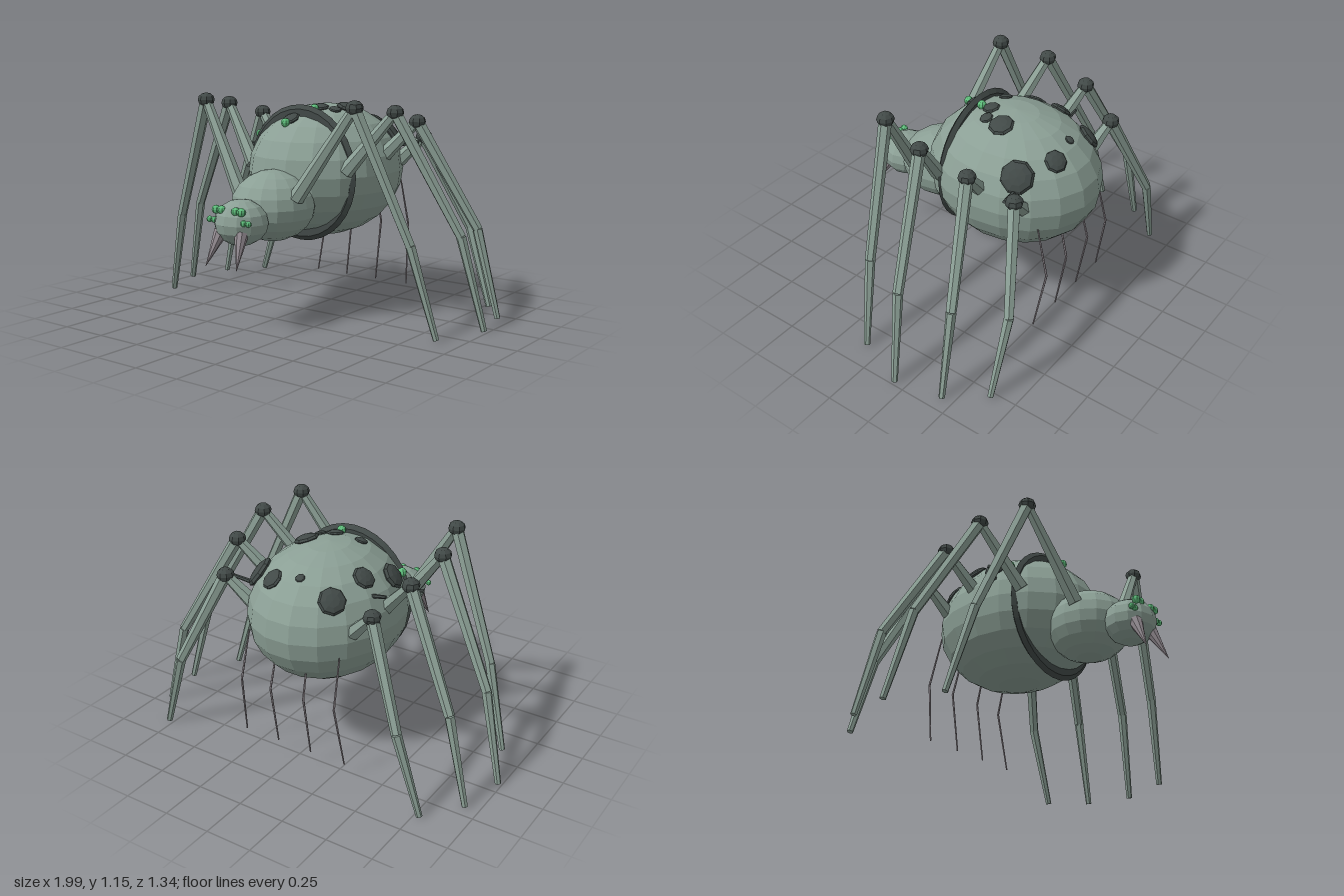
import * as THREE from 'three';

const mat = (name, color) => {
  const m = new THREE.MeshStandardMaterial({ color, flatShading: true });
  m.name = name;
  return m;
};

export function createModel() {
  const skin = mat('grey green skin', 0x8b9f95);
  const dark = mat('dark shell', 0x414947);
  const green = mat('bright green', 0x5fbf7c);
  const horn = mat('grey horn', 0x958d93);
  const model = new THREE.Group();
  const V = (x, y, z) => new THREE.Vector3(x, y, z);
  const UP = V(0, 1, 0);

  const add = (parent, name, geo, material) => {
    const mesh = new THREE.Mesh(geo, material);
    mesh.name = name;
    parent.add(mesh);
    return mesh;
  };
  const ball = (parent, name, material, center, radii, w = 8, h = 6) => {
    const m = add(parent, name, new THREE.SphereGeometry(1, w, h), material);
    m.position.copy(center);
    m.scale.copy(radii);
    return m;
  };
  // Tapered rod between two points
  const rod = (parent, name, material, a, b, ra, rb, sides = 6) => {
    const dir = b.clone().sub(a);
    const m = add(parent, name, new THREE.CylinderGeometry(rb, ra, dir.length(), sides), material);
    m.position.copy(a).add(b).multiplyScalar(0.5);
    m.quaternion.setFromUnitVectors(UP, dir.normalize());
    return m;
  };

  // Body
  const C = V(0, 0.741, -0.205), R = V(0.39, 0.354, 0.467);
  ball(model, 'abdomen', skin, C, R, 18, 12);
  ball(model, 'thorax', skin, V(0, 0.602, 0.26), V(0.213, 0.183, 0.225), 16, 10);
  ball(model, 'head', skin, V(0, 0.55, 0.515), V(0.138, 0.116, 0.134), 12, 8);

  // Flat ring around the front of the abdomen
  const ring = add(model, 'abdomenRing', new THREE.TorusGeometry(0.31, 0.045, 6, 32), dark);
  ring.position.set(0, 0.74, 0.022);
  ring.scale.set(0.97, 1.01, 0.48);

  // Points and normals on the upper half of the abdomen
  const surface = (x, z) => {
    const u = x / R.x, w = (z - C.z) / R.z;
    const h = Math.sqrt(Math.max(0.02, 1 - u * u - w * w));
    const p = V(x, C.y + R.y * h, z);
    return { p, n: V(u / R.x, h / R.y, w / R.z).normalize() };
  };

  // Dark spots: x, z, radius
  const spots = [
    [-0.21, -0.5, 0.07], [0.12, -0.52, 0.058], [0.28, -0.41, 0.085], [-0.03, -0.5, 0.025],
    [-0.26, -0.3, 0.06], [0.135, -0.21, 0.065], [0.12, -0.11, 0.035], [0.045, -0.085, 0.045],
    [-0.1, -0.07, 0.035], [-0.31, -0.11, 0.07], [-0.035, 0.07, 0.05],
  ];
  for (const [x, z, r] of spots) {
    const { p, n } = surface(x, z);
    const s = ball(model, 'spot', dark, p, V(r, r * 0.35, r));
    s.quaternion.setFromUnitVectors(UP, n);
  }
  // Green beads beside the ring
  for (const [x, z] of [[-0.3, -0.02], [0.045, -0.03], [-0.033, 0.11]]) {
    const { p, n } = surface(x, z);
    ball(model, 'bead', green, p.addScaledVector(n, 0.01), V(0.024, 0.024, 0.024));
  }
  // Short spikes on the flanks
  rod(model, 'spike', dark, V(0.32, 0.87, -0.42), V(0.43, 0.89, -0.44), 0.012, 0.009);
  rod(model, 'spike', dark, V(-0.28, 0.91, -0.31), V(-0.39, 0.93, -0.31), 0.012, 0.009);
  rod(model, 'spike', dark, V(-0.34, 0.85, -0.09), V(-0.45, 0.87, -0.04), 0.012, 0.009);

  // Leg joints from front to back: hip, knee, bend, foot
  const legs = [
    [[0.18, 0.655, 0.31], [0.475, 1.115, 0.232], [0.745, 0.46, 0.145], [0.868, 0.004, 0.095]],
    [[0.3, 0.77, 0.055], [0.54, 1.08, -0.03], [0.865, 0.475, -0.137], [0.98, 0.004, -0.184]],
    [[0.34, 0.825, -0.228], [0.513, 1.015, -0.288], [0.81, 0.465, -0.415], [0.926, 0.004, -0.437]],
    [[0.3, 0.78, -0.455], [0.43, 0.915, -0.498], [0.65, 0.425, -0.632], [0.78, 0.004, -0.623]],
  ];

  for (const s of [1, -1]) {
    legs.forEach((joints, i) => {
      const leg = new THREE.Group();
      leg.name = (s > 0 ? 'left' : 'right') + 'Leg' + (i + 1);
      model.add(leg);
      const [hip, knee, bend, foot] = joints.map(([x, y, z]) => V(s * x, y, z));
      rod(leg, 'upperLeg', skin, hip, knee, 0.04, 0.026);
      ball(leg, 'knee', dark, knee, V(0.045, 0.038, 0.045));
      rod(leg, 'lowerLeg', skin, knee, bend, 0.033, 0.026);
      rod(leg, 'shin', skin, bend, foot, 0.026, 0.016);
    });

    // Eyes: x, y, radius
    for (const [x, y, r] of [[0.045, 0.62, 0.022], [0.08, 0.62, 0.022], [0.094, 0.567, 0.016], [0.123, 0.567, 0.016]]) {
      ball(model, 'eye', green, V(s * x, y, 0.608), V(r, r, r));
    }

    rod(model, 'fang', horn, V(s * 0.065, 0.51, 0.59), V(s * 0.098, 0.345, 0.67), 0.036, 0.001, 8);

    // Thin bent threads under the rear
    for (const x of [0.1, 0.28]) {
      const top = V(s * (x - 0.01), 0.665, -0.53);
      const mid = V(s * x, 0.41, -0.597);
      const end = V(s * (x + (x > 0.2 ? 0.024 : 0)), 0.076, -0.545);
      rod(model, 'threadUpper', horn, top, mid, 0.004, 0.006, 5);
      rod(model, 'threadLower', horn, mid, end, 0.006, 0.004, 5);
    }
  }
  return model;
}
